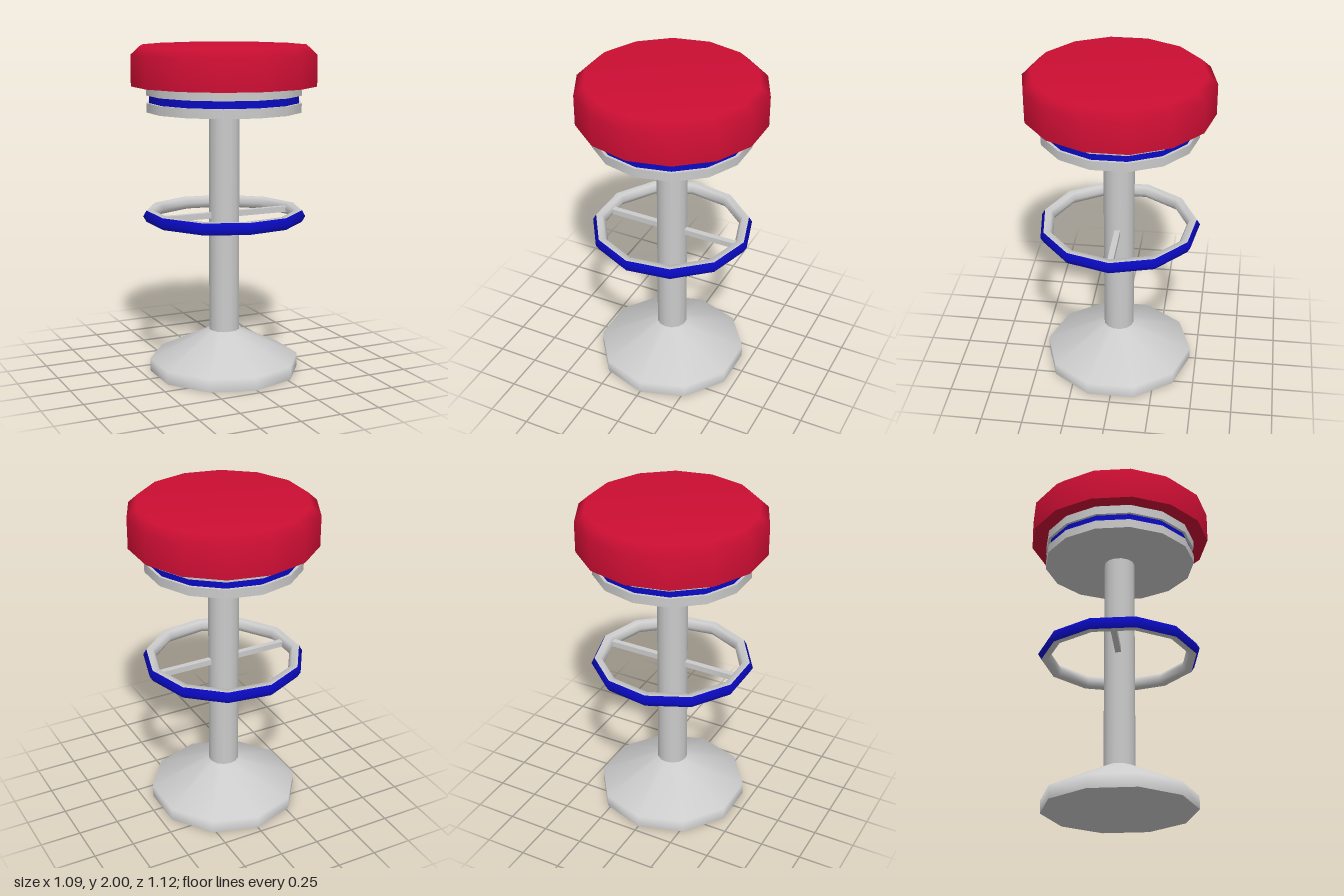
import * as THREE from 'three';
import { mergeGeometries } from 'three/addons/utils/BufferGeometryUtils.js';

const GREY = 0xcccccc, RED = 0xcc0e33, BLUE = 0x0a0ac4;

// Turned part: each section is a smooth [radius, y] profile; edges between sections stay sharp
function turned(name, color, sides, sections, phi = 0) {
  const lathes = sections.map(points =>
    new THREE.LatheGeometry(points.map(([r, y]) => new THREE.Vector2(r, y)), sides, phi));
  const mesh = new THREE.Mesh(mergeGeometries(lathes), new THREE.MeshStandardMaterial({ color }));
  mesh.name = name;
  return mesh;
}

// Flat-ended disc from y0 to y1
function disc(name, color, sides, r, y0, y1) {
  return turned(name, color, sides, [
    [[0, y0], [r, y0]],
    [[r, y0], [r, y1]],
    [[r, y1], [0, y1]],
  ]);
}

export function createModel() {
  const stool = new THREE.Group();
  stool.name = 'barStool';

  // Base: short rim sloping up to the pole
  stool.add(turned('base', GREY, 10, [
    [[0, 0], [0.46, 0]],
    [[0.46, 0], [0.46, 0.08], [0.095, 0.26]],
    [[0.095, 0.26], [0, 0.26]],
  ]));
  stool.add(disc('pole', GREY, 14, 0.094, 0.25, 1.62));

  // Seat support: two plates with a coloured band between them
  stool.add(disc('lowerPlate', GREY, 14, 0.47, 1.61, 1.665));
  stool.add(disc('plateBand', BLUE, 14, 0.453, 1.665, 1.71));
  stool.add(disc('upperPlate', GREY, 14, 0.47, 1.71, 1.765));

  // Cushion with a softened top edge
  stool.add(turned('seat', RED, 14, [
    [[0, 1.765], [0.56, 1.765]],
    [[0.56, 1.765], [0.56, 1.95], [0.505, 2], [0, 2]],
  ]));

  // Foot rest: hexagonal-section ring, coloured on the outside, held by a crossbar
  const footRest = new THREE.Group();
  footRest.name = 'footRest';
  footRest.position.y = 0.98;
  footRest.add(turned('ringOuter', BLUE, 11,
    [[[0.474, -0.035], [0.494, 0], [0.474, 0.035]]], Math.PI / 2));
  footRest.add(turned('ringInner', GREY, 11,
    [[[0.474, 0.035], [0.434, 0.035], [0.414, 0], [0.434, -0.035], [0.474, -0.035]]], Math.PI / 2));
  const bar = new THREE.Mesh(new THREE.BoxGeometry(0.84, 0.035, 0.035),
    new THREE.MeshStandardMaterial({ color: GREY }));
  bar.name = 'crossbar';
  footRest.add(bar);
  stool.add(footRest);

  return stool;
}
